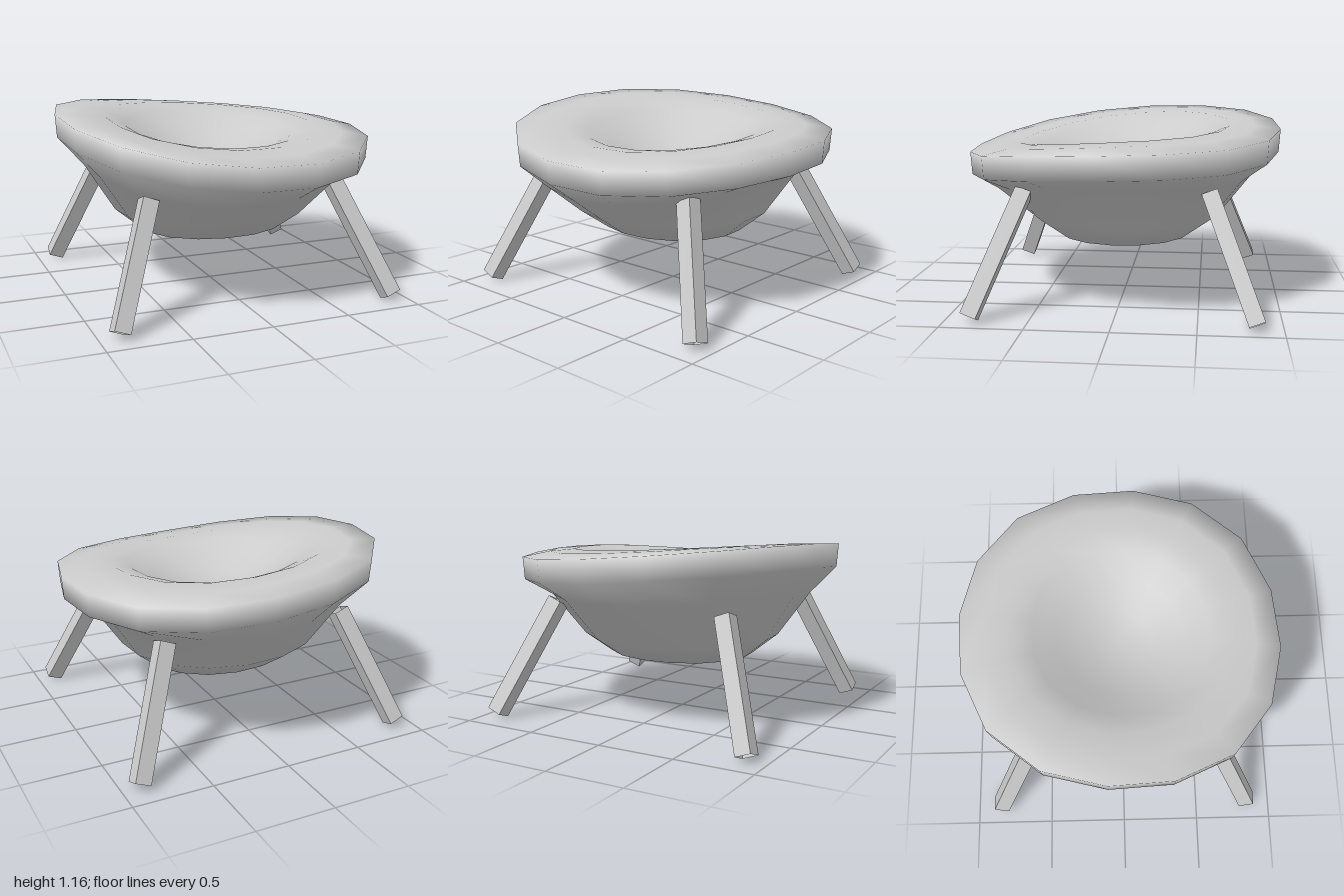
import * as THREE from 'three';
import { mergeVertices } from 'three/addons/utils/BufferGeometryUtils.js';

const seatMaterial = new THREE.MeshStandardMaterial({ color: 0xcccccc });
const legMaterial = new THREE.MeshStandardMaterial({
  color: 0xcccccc, flatShading: true, side: THREE.DoubleSide,
});

// Cross-section from the underside pole, round the rim, to the middle of the seat:
// radius, height, tilt along x, tilt along z, saddle amount, squash along z
const PROFILE = [
  [0, 0.325, 0, 0, 0, 1],
  [0.19, 0.335, 0, 0, 0, 0.8],
  [0.48, 0.39, 0, 0, 0, 0.89],
  [0.64, 0.52, 0, 0, 0, 0.96],
  [0.835, 0.78, 0.01, 0.07, 0.05, 1],
  [0.995, 0.905, 0.066, 0.075, 0.03, 1],
  [1.005, 1.05, 0.066, 0.075, 0.03, 1],
  [0.85, 1.066, 0.055, 0.083, 0.035, 1],
  [0.69, 1.07, 0.047, 0.088, 0.037, 1],
  [0.56, 1.03, 0.035, 0.07, 0.03, 1],
  [0.4, 0.945, 0.01, 0.04, 0, 1],
  [0.2, 0.87, 0, 0.03, 0, 1],
  [0, 0.84, 0, 0, 0, 1],
];

// Closed bowl: a 16-sided, slightly squarish loft whose rim leans and waves
function bowlGeometry(sides = 16) {
  const positions = [], index = [];
  const last = PROFILE.length - 1;
  PROFILE.forEach(([r, y, tiltX, tiltZ, saddle, squash], ring) => {
    for (let i = 0; i < sides; i++) {
      const a = 0.1 + (i / sides) * Math.PI * 2;
      const radius = r * (1 + 0.035 * r * Math.sin(2 * a) ** 2);
      const x = radius * Math.cos(a), z = radius * Math.sin(a) * squash;
      const wave = saddle * (x * x - z * z + 0.8 * x * z * (1 + x));
      positions.push(x, y - tiltX * x - tiltZ * z + wave, z);
      if (ring === last) continue;
      const p = ring * sides + i, q = ring * sides + (i + 1) % sides;
      if (ring > 0) index.push(p, q + sides, q);
      if (ring < last - 1) index.push(p, p + sides, q + sides);
    }
  });
  const geometry = new THREE.BufferGeometry();
  geometry.setAttribute('position', new THREE.Float32BufferAttribute(positions, 3));
  geometry.setIndex(index);
  const merged = mergeVertices(geometry, 1e-5);
  merged.computeVertexNormals();
  return merged;
}

// Splayed square tube, open at the ends, running from foot to the side of the bowl
function makeLeg(sx, sz) {
  const foot = new THREE.Vector3(sx > 0 ? 0.893 : -0.88, 0.036, sz * 0.845);
  const top = new THREE.Vector3(sx * 0.6, 0.75, sz * 0.56);
  // the front right leg ends slightly lower
  if (sx < 0 && sz > 0) top.lerp(foot, 0.04);
  const direction = top.clone().sub(foot);
  const tube = new THREE.CylinderGeometry(0.0707, 0.0707, direction.length(), 4, 1, true);
  const leg = new THREE.Mesh(tube.rotateY(Math.PI / 4), legMaterial);
  leg.position.copy(foot).add(top).multiplyScalar(0.5);
  leg.quaternion.setFromUnitVectors(new THREE.Vector3(0, 1, 0), direction.normalize());
  leg.name = (sz > 0 ? 'front' : 'back') + (sx > 0 ? 'Left' : 'Right') + 'Leg';
  return leg;
}

export function createModel() {
  const chair = new THREE.Group();
  chair.name = 'bowlChair';

  const seat = new THREE.Mesh(bowlGeometry(), seatMaterial);
  seat.name = 'bowlSeat';
  chair.add(seat);

  for (const sx of [-1, 1]) for (const sz of [-1, 1]) chair.add(makeLeg(sx, sz));
  return chair;
}
